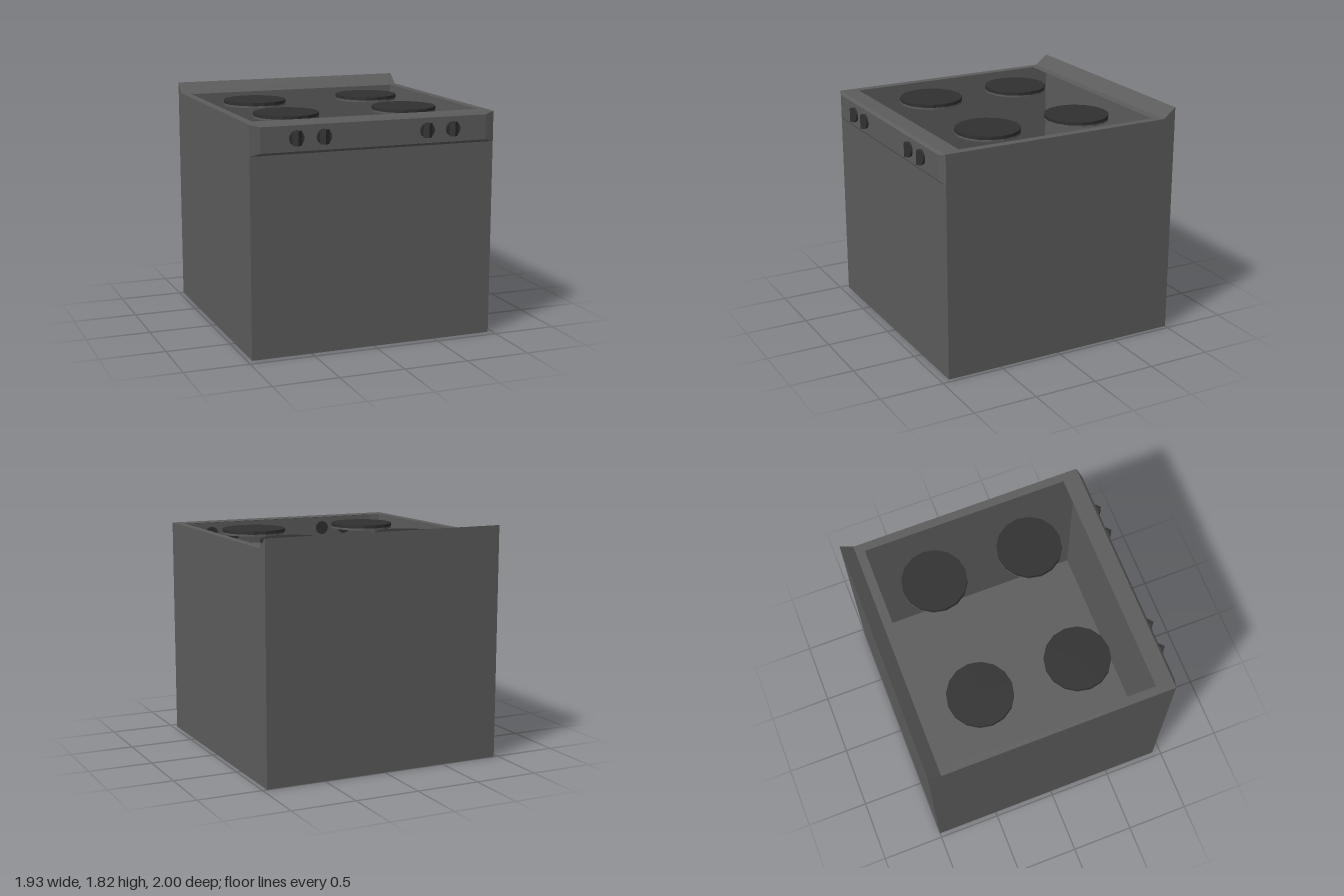
import * as THREE from 'three';

const W = 0.965, BACK = -1, FRONT = 0.935, TOP = 1.74;

export function createModel() {
  const enamel = new THREE.MeshStandardMaterial({ color: 0x5c5c5c, side: THREE.DoubleSide, flatShading: true });
  enamel.name = 'grey enamel';
  const black = new THREE.MeshStandardMaterial({ color: 0x303030, side: THREE.DoubleSide, flatShading: true });
  black.name = 'black iron';
  const model = new THREE.Group();
  model.name = 'stove';

  const add = (name, geometry, material, parent = model) => {
    const mesh = new THREE.Mesh(geometry, material);
    mesh.name = name;
    parent.add(mesh);
    return mesh;
  };
  // Thin sheets from four-cornered faces, corners counter-clockwise from outside
  const sheet = (...quads) => {
    const g = new THREE.BufferGeometry();
    const points = quads.flatMap(([a, b, c, d]) => [a, b, c, a, c, d]).flat();
    g.setAttribute('position', new THREE.Float32BufferAttribute(points, 3));
    g.computeVertexNormals();
    return g;
  };
  // Rectangle of corners in the plane z
  const rect = (w, y0, y1, z) => [[-w, y0, z], [w, y0, z], [w, y1, z], [-w, y1, z]];

  // Hollow body: front stops below the control panel, back rises to the splashback
  const panelBottom = 1.51, crest = 1.82, lip = -0.9;
  add('frontWall', sheet(rect(W, 0, panelBottom, FRONT)), enamel);
  add('backWall', sheet(rect(W, 0, crest, BACK).reverse()), enamel);
  add('floor', sheet([[-W, 0, BACK], [W, 0, BACK], [W, 0, FRONT], [-W, 0, FRONT]]), enamel);
  add('splashback', sheet([[-W, TOP, lip], [W, TOP, lip], [W, crest, BACK], [-W, crest, BACK]]), enamel);

  // Side walls share one outline, including the splashback ends
  const side = new THREE.Shape([[-FRONT, 0], [-BACK, 0], [-BACK, crest], [-lip, TOP], [-FRONT, TOP]]
    .map(([x, y]) => new THREE.Vector2(x, y)));
  for (const s of [-1, 1]) {
    const wall = add(s > 0 ? 'leftWall' : 'rightWall', new THREE.ShapeGeometry(side), enamel);
    wall.rotation.y = Math.PI / 2;
    wall.position.x = s * W;
  }

  // Open top rim
  const corners = (w, z0, z1) => [[-w, -z1], [w, -z1], [w, -z0], [-w, -z0]].map(([x, y]) => new THREE.Vector2(x, y));
  const rimShape = new THREE.Shape(corners(W, lip, FRONT));
  rimShape.holes.push(new THREE.Path(corners(0.9, -0.83, 0.8)));
  const rim = add('topRim', new THREE.ShapeGeometry(rimShape), enamel);
  rim.rotation.x = -Math.PI / 2;
  rim.position.y = TOP;

  // Bevelled control panel, open behind
  const outer = rect(W, panelBottom, TOP, FRONT), inner = rect(0.89, 1.53, 1.72, 0.955);
  const bevels = outer.map((p, i) => [p, outer[(i + 1) % 4], inner[(i + 1) % 4], inner[i]]);
  add('controlPanel', sheet(inner, ...bevels), enamel);

  // Burners: an iron plate over a grey ring
  for (const x of [-0.485, 0.485]) for (const z of [-0.42, 0.35]) {
    const burner = new THREE.Group();
    burner.name = 'burner';
    burner.position.set(x, 1.73, z);
    add('burnerPlate', new THREE.CylinderGeometry(0.25, 0.25, 0.025, 16), black, burner).position.y = -0.0125;
    add('burnerRing', new THREE.CylinderGeometry(0.25, 0.25, 0.015, 16), enamel, burner).position.y = -0.0325;
    model.add(burner);
  }

  // Knobs: round base with a wedge grip
  const grip = new THREE.Shape([[-0.035, 0], [0.035, 0], [0, 0.028]].map(([x, y]) => new THREE.Vector2(x, y)));
  const gripGeometry = new THREE.ExtrudeGeometry(grip, { depth: 0.108, bevelEnabled: false });
  gripGeometry.translate(0, 0, -0.054).rotateX(Math.PI / 2);
  for (const x of [-0.62, -0.41, 0.405, 0.615]) {
    const knob = new THREE.Group();
    knob.name = 'knob';
    knob.position.set(x, 1.628, 0.972);
    const base = add('knobBase', new THREE.CylinderGeometry(0.057, 0.057, 0.022, 16), black, knob);
    base.rotation.x = Math.PI / 2;
    base.position.z = -0.011;
    add('knobGrip', gripGeometry, black, knob);
    model.add(knob);
  }
  return model;
}
